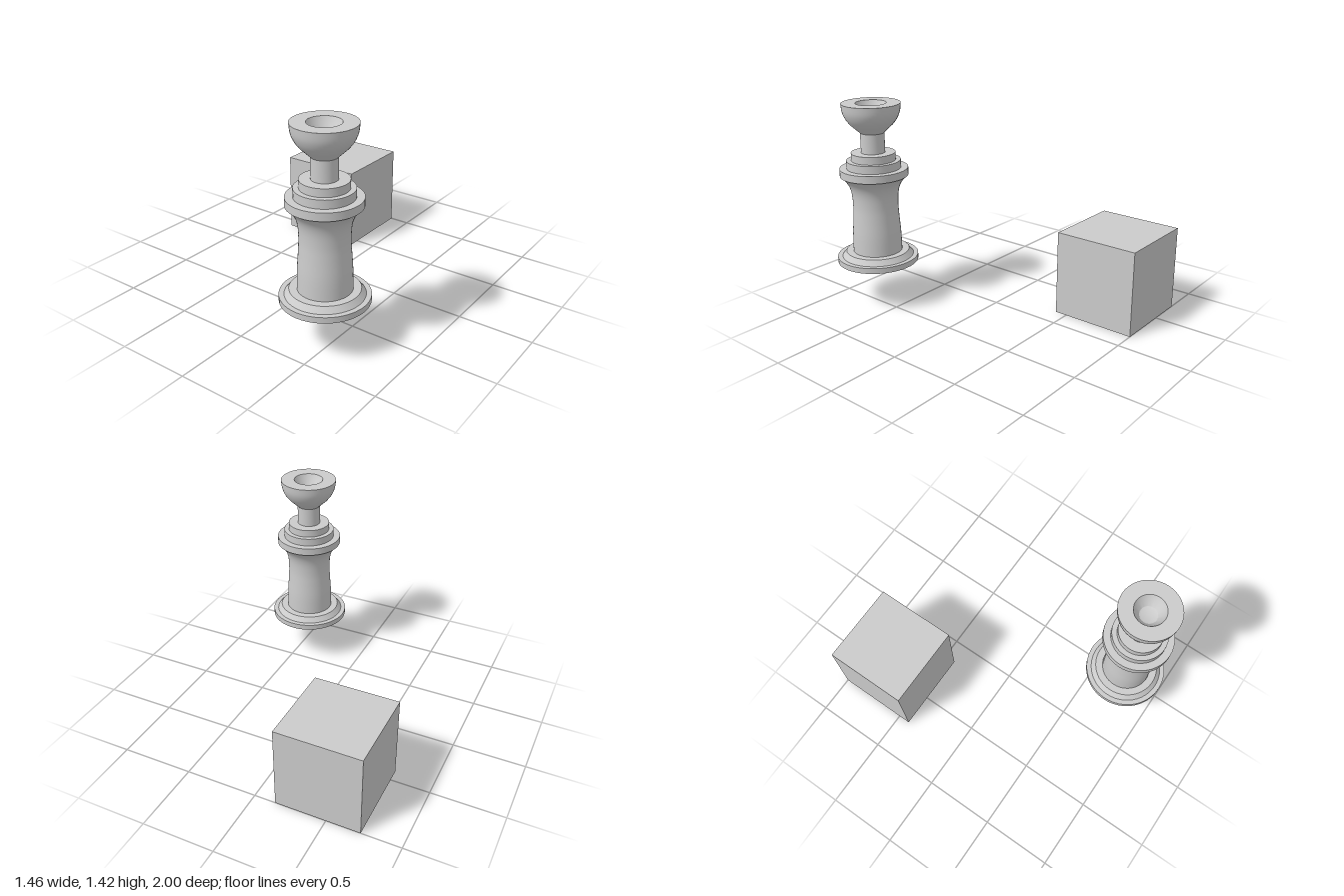
import * as THREE from 'three';
import { toCreasedNormals } from 'three/addons/utils/BufferGeometryUtils.js';

const material = new THREE.MeshStandardMaterial({ color: 0xcccccc });

// Turned part from [radius, height] pairs, listed bottom to top
function turned(name, profile, segments = 48) {
  const points = profile.map(([r, y]) => new THREE.Vector2(r, y));
  const geometry = toCreasedNormals(new THREE.LatheGeometry(points, segments), 0.5);
  const mesh = new THREE.Mesh(geometry, material);
  mesh.name = name;
  return mesh;
}

// Plain closed disc between two heights
const disc = (name, r, y0, y1) => turned(name, [[0, y0], [r, y0], [r, y1], [0, y1]]);

// Smooth run of profile points through a few guides
const smooth = (guides, count) =>
  new THREE.SplineCurve(guides.map(([r, y]) => new THREE.Vector2(r, y)))
    .getPoints(count).map((p) => [p.x, p.y]);

export function createModel() {
  const model = new THREE.Group();

  // Separate cube
  const cube = new THREE.Mesh(new THREE.BoxGeometry(0.585, 0.588, 0.585), material);
  cube.name = 'cube';
  cube.position.set(-0.44, 0.294, -0.7075);
  model.add(cube);

  const pedestal = new THREE.Group();
  pedestal.name = 'pedestal';
  pedestal.position.set(0.448, 0, 0.718);
  model.add(pedestal);

  // Base with bevelled step
  pedestal.add(turned('base', [
    [0, 0.298], [0.282, 0.298], [0.282, 0.337], [0.249, 0.337], [0.22, 0.374], [0, 0.374],
  ]));

  // Waisted column flaring out under the collar
  pedestal.add(turned('column', smooth([
    [0.171, 0.37], [0.168, 0.5], [0.16, 0.62], [0.156, 0.71],
    [0.162, 0.8], [0.184, 0.865], [0.229, 0.922],
  ], 28)));

  // Stepped collar and neck
  pedestal.add(disc('lowerCollar', 0.234, 0.92, 0.973));
  pedestal.add(disc('middleCollar', 0.185, 0.973, 1.028));
  pedestal.add(disc('upperCollar', 0.151, 1.028, 1.081));
  pedestal.add(disc('neck', 0.082, 1.081, 1.22));

  // Bowl with a flat rim and a small tapered recess
  pedestal.add(turned('bowl', [
    [0, 1.218], [0.083, 1.218],
    ...smooth([[0.144, 1.275], [0.173, 1.314], [0.193, 1.362], [0.2, 1.42]], 12),
    [0.104, 1.42], [0.09, 1.39], [0.058, 1.345], [0.047, 1.34], [0, 1.34],
  ]));

  return model;
}
